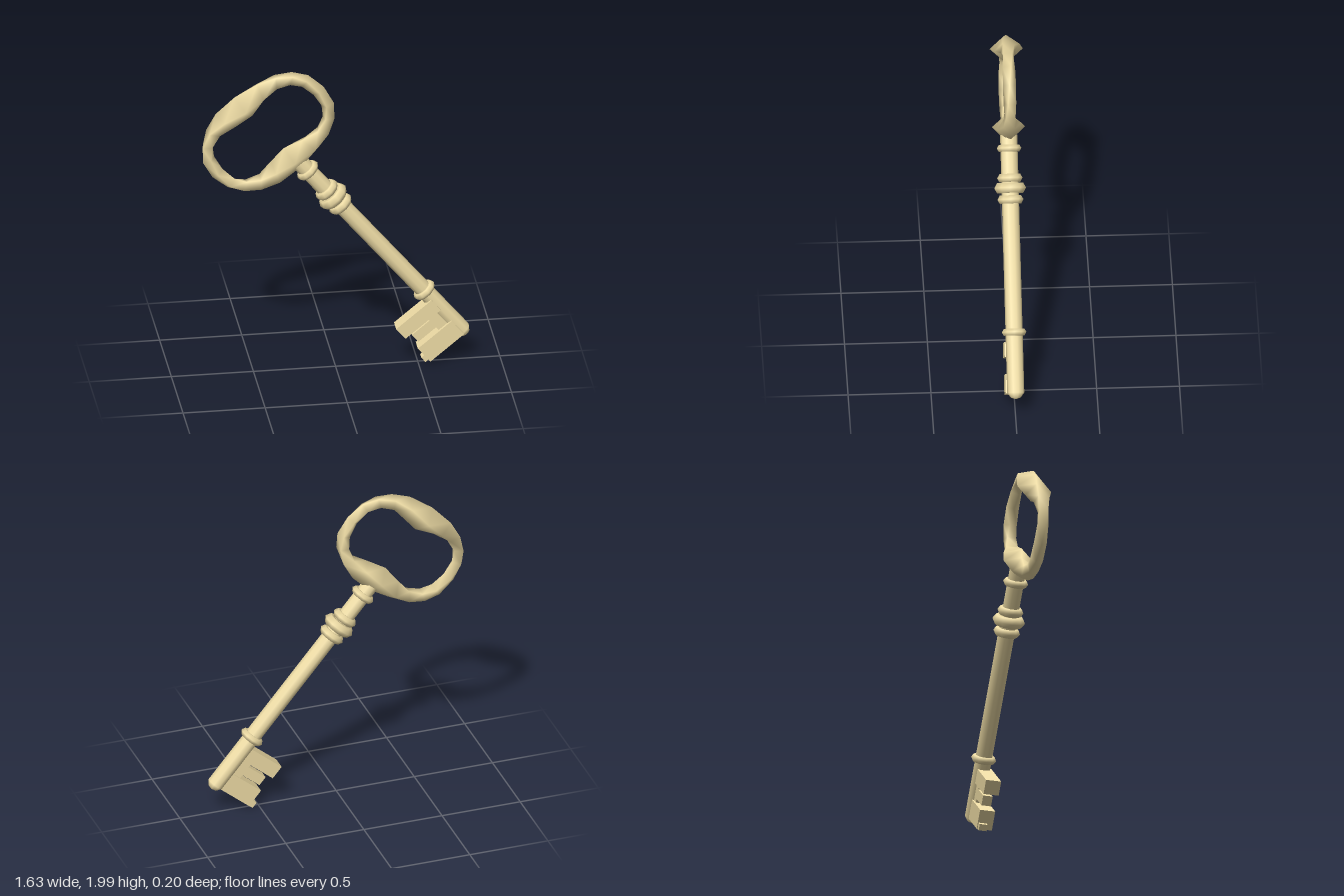
import * as THREE from 'three';

export function createModel() {
  const model = new THREE.Group();
  const key = new THREE.Group();
  key.name = 'key';
  model.add(key);
  const brass = new THREE.MeshStandardMaterial({ color: 0xeedca5 });

  const add = (name, geometry, x = 0, y = 0, z = 0) => {
    const mesh = new THREE.Mesh(geometry, brass);
    mesh.name = name;
    mesh.position.set(x, y, z);
    key.add(mesh);
    return mesh;
  };

  // Twisted oval bow: a diamond section that swells at the two short ends
  function bowGeometry(segments = 20, sides = 4) {
    const pos = [], index = [];
    const softPow = (v, p) => Math.sign(v) * Math.abs(v) ** p;
    for (let i = 0; i < segments; i++) {
      const t = (i / segments) * Math.PI * 2;
      const sin = Math.sin(t), cos = Math.cos(t);
      const swell = Math.abs(cos) ** 8;
      const hr = 0.04 + 0.045 * swell;
      const hz = 0.04 + 0.06 * swell;
      const cx = 0.4 * softPow(sin, 0.9);
      const cy = (0.275 - 0.04 * swell) * softPow(cos, 0.8);
      for (let j = 0; j < sides; j++) {
        const a = (j / sides) * Math.PI * 2 + t;
        pos.push(cx + sin * Math.cos(a) * hr, cy + cos * Math.cos(a) * hr, Math.sin(a) * hz);
        const i2 = (i + 1) % segments, j2 = (j + 1) % sides;
        const p = i * sides + j, q = i * sides + j2;
        const r = i2 * sides + j, s = i2 * sides + j2;
        index.push(p, q, r, q, s, r);
      }
    }
    const g = new THREE.BufferGeometry();
    g.setAttribute('position', new THREE.Float32BufferAttribute(pos, 3));
    g.setIndex(index);
    g.computeVertexNormals();
    return g;
  }
  add('bow', bowGeometry(), -0.01, 0.365, 0);

  // Round shaft with a blunt domed tip
  const shaftProfile = [[0, -1.515], [0.03, -1.505], [0.052, -1.475], [0.052, 0.08], [0, 0.08]]
    .map(([r, y]) => new THREE.Vector2(r, y));
  add('shaft', new THREE.LatheGeometry(shaftProfile, 10));

  // Collars: [height, outer radius, tube radius]
  const collars = [[0, 0.077, 0.024], [-0.18, 0.08, 0.028], [-0.24, 0.1, 0.035],
    [-0.31, 0.082, 0.028], [-1.11, 0.077, 0.024]];
  for (const [y, outer, tube] of collars) {
    const ring = new THREE.TorusGeometry(outer - tube, tube, 6, 10);
    ring.rotateX(Math.PI / 2);
    add('collar', ring, 0, y, 0);
  }

  // Bit: boxes spanning [start, end] along the shaft and [inner, reach] sideways
  const bitBox = (name, start, end, inner, reach, z0, z1) =>
    add(name, new THREE.BoxGeometry(reach - inner, end - start, z1 - z0),
      -(inner + reach) / 2, -(start + end) / 2, (z0 + z1) / 2);
  bitBox('bitRoot', 1.17, 1.48, 0, 0.1, -0.025, 0.04);
  bitBox('upperTooth', 1.168, 1.257, 0, 0.28, -0.035, 0.06);
  bitBox('middleTooth', 1.276, 1.338, 0, 0.241, -0.025, 0.035);
  bitBox('lowerTooth', 1.36, 1.48, 0, 0.268, -0.035, 0.06);
  bitBox('lowerToothNub', 1.44, 1.48, 0.26, 0.3, -0.03, 0.02);

  // Tilt the key so the bow is at upper left and the tip at lower right
  key.rotation.z = 0.693;
  key.position.set(-0.17, 1.33, 0);
  return model;
}
